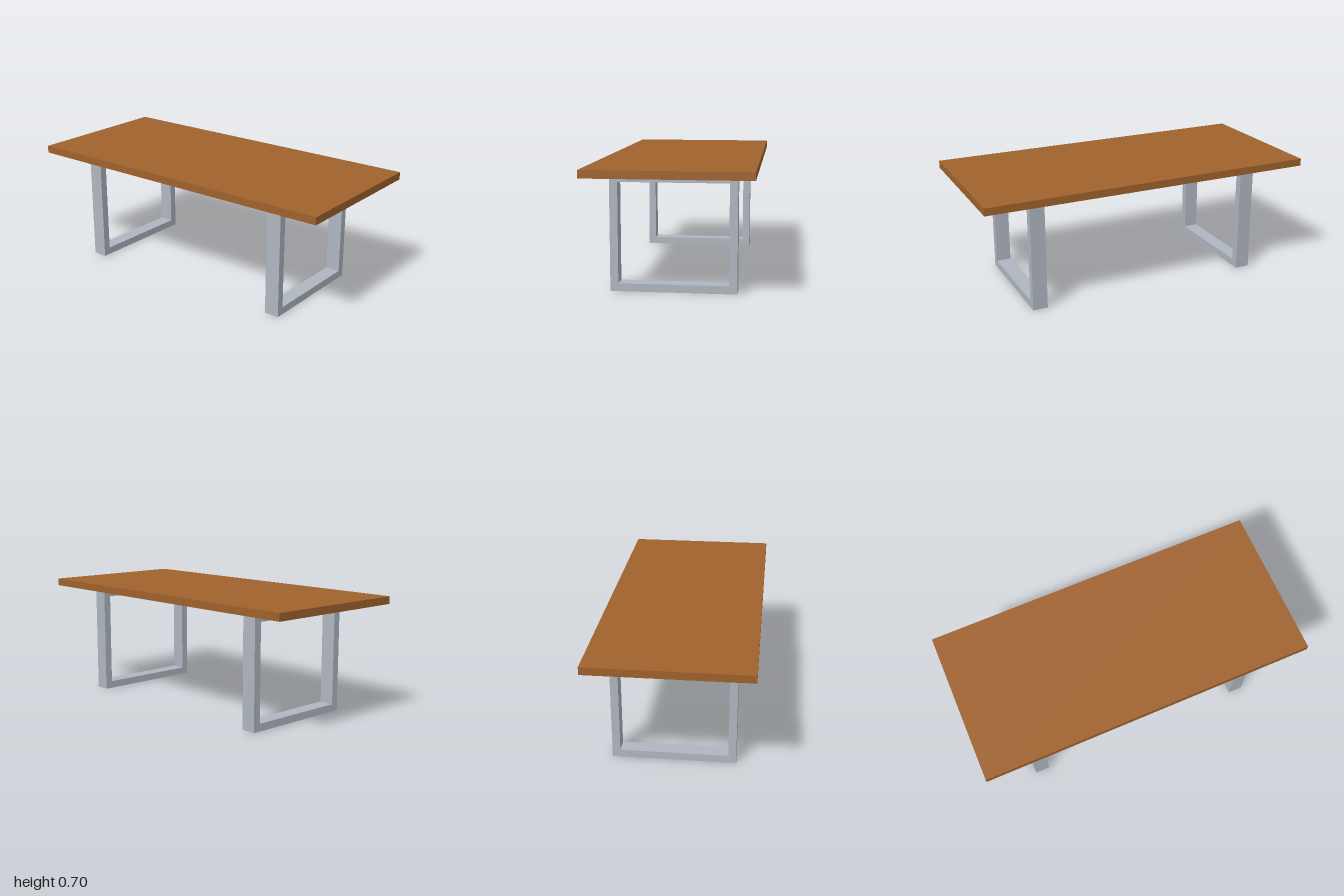
import * as THREE from 'three';

export function createModel() {
  const model = new THREE.Group();
  const wood = new THREE.MeshStandardMaterial({ color: 0xa0622d });
  wood.name = 'brown wood';
  const metal = new THREE.MeshStandardMaterial({ color: 0xb0b7c1 });
  metal.name = 'grey metal';

  // Flat rectangular slab
  const top = new THREE.Mesh(new THREE.BoxGeometry(2, 0.044, 0.908), wood);
  top.name = 'tableTop';
  top.position.y = 0.679;
  model.add(top);

  // Rectangular frame outline in the z-y plane, with an open middle
  const rect = (Type, halfWidth, bottom, topY) => new Type([
    new THREE.Vector2(-halfWidth, bottom),
    new THREE.Vector2(halfWidth, bottom),
    new THREE.Vector2(halfWidth, topY),
    new THREE.Vector2(-halfWidth, topY),
  ]);
  const outline = rect(THREE.Shape, 0.35, 0, 0.656);
  outline.holes.push(rect(THREE.Path, 0.305, 0.044, 0.606));
  const depth = 0.088;
  const frame = new THREE.ExtrudeGeometry(outline, { depth, bevelEnabled: false });
  frame.translate(0, 0, -depth / 2);
  frame.rotateY(Math.PI / 2);

  // One leg frame near each end
  for (const [name, x] of [['rightLegFrame', -0.683], ['leftLegFrame', 0.673]]) {
    const leg = new THREE.Mesh(frame, metal);
    leg.name = name;
    leg.position.x = x;
    model.add(leg);
  }
  return model;
}
